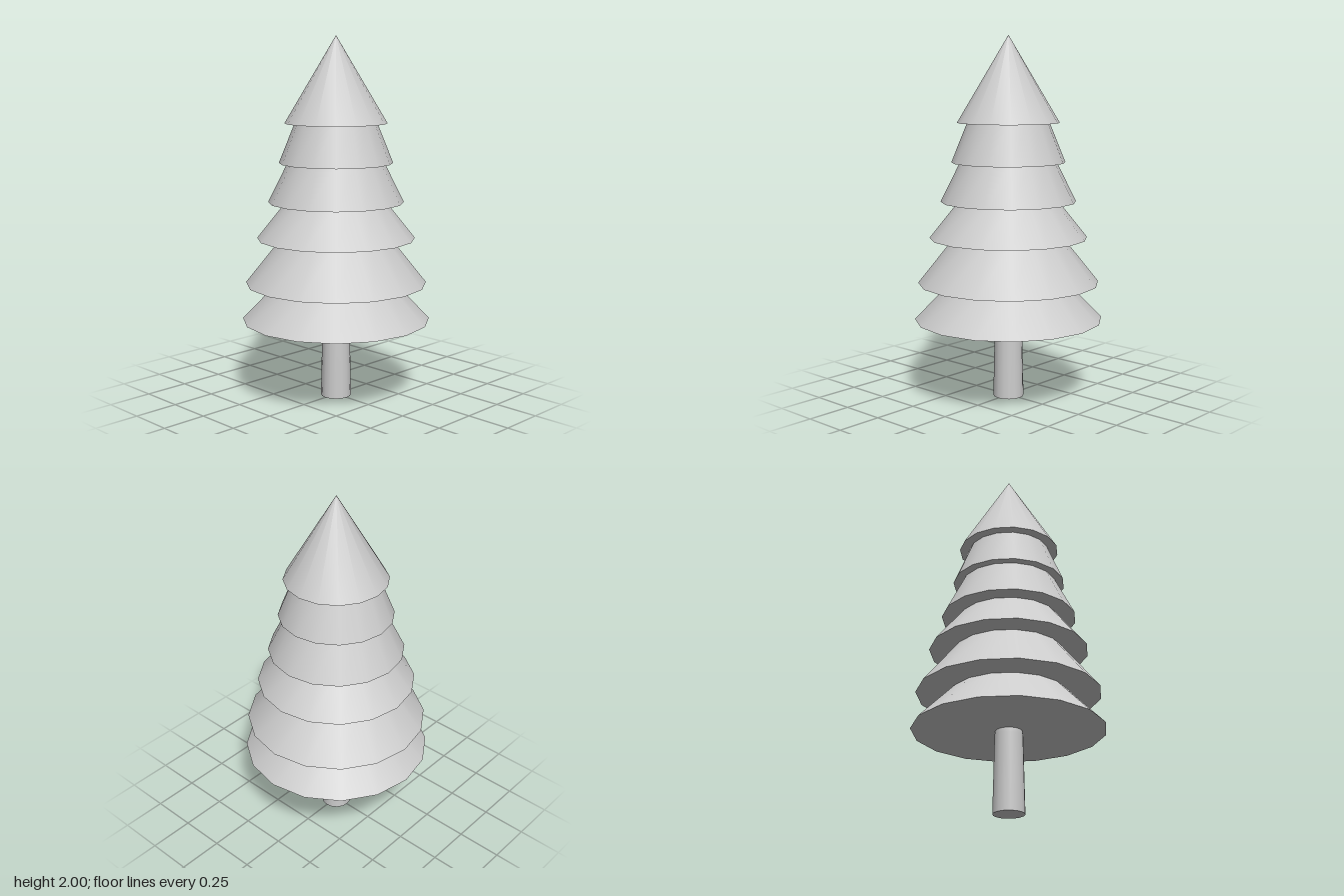
import * as THREE from 'three';

const SIDES = 16;

export function createModel() {
  const tree = new THREE.Group();
  tree.name = 'pineTree';
  const grey = new THREE.MeshStandardMaterial({ color: 0xcccccc });
  grey.name = 'plain grey';

  // Closed round section from y0 to y1
  function section(name, y0, r0, y1, r1) {
    const geometry = new THREE.CylinderGeometry(r1, r0, y1 - y0, SIDES);
    const mesh = new THREE.Mesh(geometry, grey);
    mesh.name = name;
    mesh.position.y = (y0 + y1) / 2;
    tree.add(mesh);
  }

  // Trunk, tapering and pinched in just below the branches
  const profile = [[0, 0], [0.085, 0], [0.085, 0], [0.076, 0.42], [0.07, 0.46]];
  const trunk = new THREE.Mesh(
    new THREE.LatheGeometry(profile.map(([r, y]) => new THREE.Vector2(r, y)), SIDES), grey);
  // Separate sharp-edged bottom: side wall and base disc
  trunk.geometry = new THREE.LatheGeometry(
    profile.slice(2).map(([r, y]) => new THREE.Vector2(r, y)), SIDES);
  trunk.name = 'trunk';
  tree.add(trunk);
  const base = new THREE.Mesh(new THREE.CircleGeometry(0.085, SIDES), grey);
  base.name = 'trunkBase';
  base.rotation.x = Math.PI / 2;
  tree.add(base);

  // Branch tiers: bottom height, bottom radius, radius where the next tier begins
  const tiers = [
    [0.445, 0.52, 0.32],
    [0.65, 0.50, 0.30],
    [0.90, 0.435, 0.275],
    [1.10, 0.372, 0.265],
    [1.315, 0.312, 0.225],
    [1.53, 0.28, 0],
  ];
  tiers.forEach(([y, r, rTop], i) => {
    const last = i === tiers.length - 1;
    const yTop = last ? 2 : tiers[i + 1][0];
    // Tuck each lower tier slightly into the one above
    const tuck = last ? 0 : 0.02;
    const slope = (rTop - r) / (yTop - y);
    section(last ? 'treeTop' : `branchTier${i + 1}`, y, r, yTop + tuck, rTop + slope * tuck);
  });

  return tree;
}
